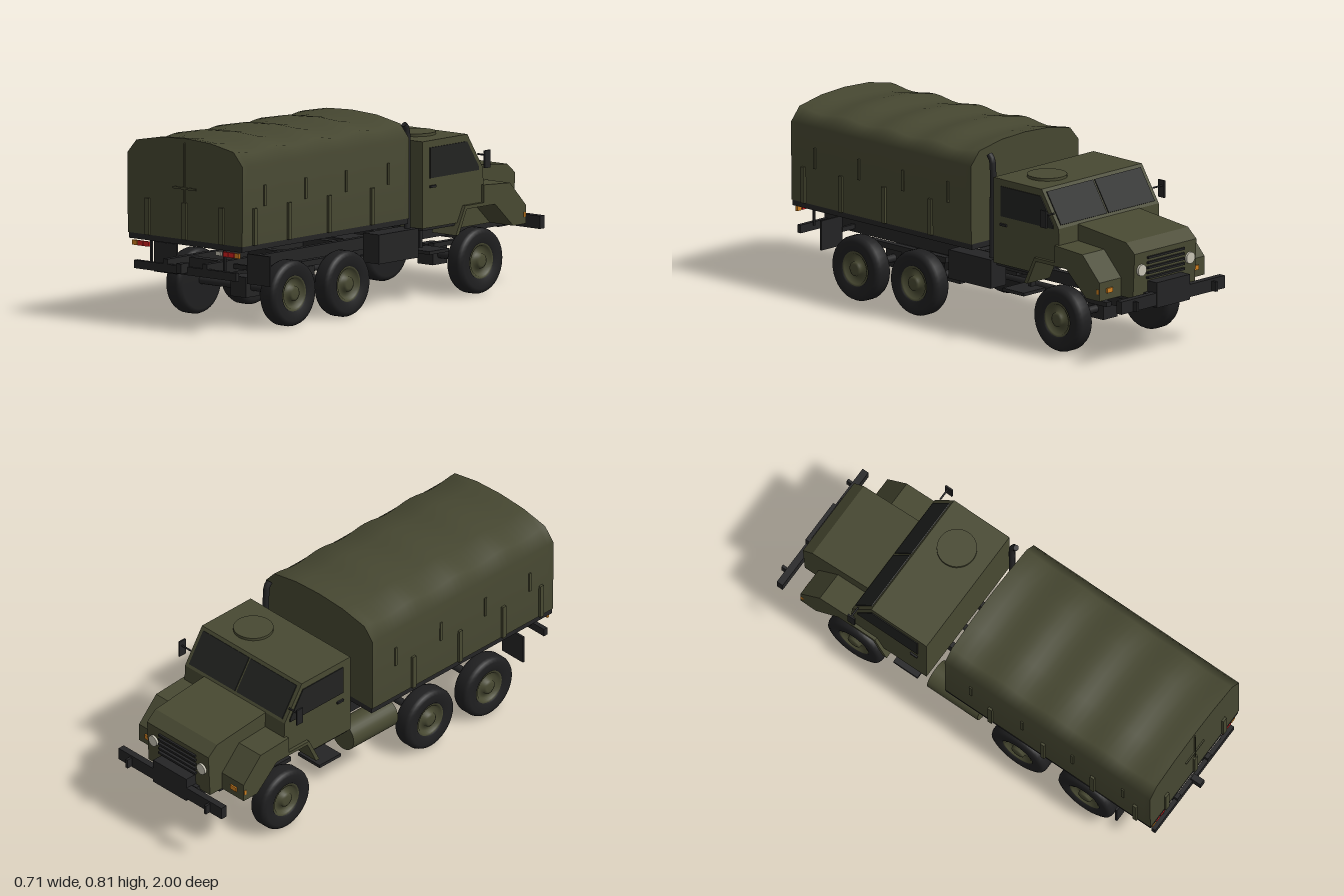
import * as THREE from 'three';

const mat = (name, color, extra = {}) => Object.assign(new THREE.MeshStandardMaterial({ color, ...extra }), { name });

export function createModel() {
  const green = mat('olive paint', 0x484932);
  const canvas = mat('olive canvas', 0x464731);
  const dark = mat('dark metal', 0x242425);
  const rubber = mat('tyre rubber', 0x1f1f20);
  const glass = mat('dark glass', 0x222321);
  const red = mat('red lens', 0xd02020);
  const orange = mat('orange lens', 0xd08020);
  const white = mat('clear lens', 0xc8c4b4);

  const truck = new THREE.Group();
  truck.name = 'truck';
  const add = (name, geo, material, x = 0, y = 0, z = 0) => {
    const m = new THREE.Mesh(geo, material);
    m.name = name;
    m.position.set(x, y, z);
    truck.add(m);
    return m;
  };
  // Box given by its limits on each axis
  const box = (name, material, x0, x1, y0, y1, z0, z1) =>
    add(name, new THREE.BoxGeometry(Math.abs(x1 - x0), y1 - y0, z1 - z0), material, (x0 + x1) / 2, (y0 + y1) / 2, (z0 + z1) / 2);
  // Side profile of [z, y] points extruded across x
  const profile = (name, material, pts, x0, x1) => {
    const shape = new THREE.Shape(pts.map(p => new THREE.Vector2(...p)));
    const geo = new THREE.ExtrudeGeometry(shape, { depth: x1 - x0, bevelEnabled: false });
    geo.rotateY(-Math.PI / 2).translate(x1, 0, 0);
    return add(name, geo, material);
  };
  const cyl = (name, material, r, len, axis, x, y, z, seg = 20) => {
    const geo = new THREE.CylinderGeometry(r, r, len, seg);
    if (axis === 'x') geo.rotateZ(Math.PI / 2);
    if (axis === 'z') geo.rotateX(Math.PI / 2);
    return add(name, geo, material, x, y, z);
  };
  const sides = [1, -1];

  // Canvas cover: arched section, sagging between its hoops
  const half = [[0.32, 0.38], [0.322, 0.72], [0.272, 0.778], [0.14, 0.803]];
  const section = [...half, [0, 0.81], ...half.slice().reverse().map(([x, y]) => [-x, y])];
  const n = section.length, steps = 32, verts = [], index = [];
  for (let j = 0; j <= steps; j++) {
    const t = j / steps, sag = 0.015 * Math.sin(t * 4 * Math.PI) ** 2;
    section.forEach(([x, y], i) => {
      verts.push(x, y > 0.75 ? y - sag : y, -0.10 + 1.06 * t);
      if (j < steps && i < n - 1) {
        const a = j * n + i, b = a + n;
        index.push(a, a + 1, b, a + 1, b + 1, b);
      }
    });
  }
  const cover = new THREE.BufferGeometry();
  cover.setAttribute('position', new THREE.Float32BufferAttribute(verts, 3));
  cover.setIndex(index);
  cover.computeVertexNormals();
  add('canvasCover', cover, canvas);
  const end = new THREE.ShapeGeometry(new THREE.Shape(section.map(p => new THREE.Vector2(...p))));
  add('canvasRear', end, canvas, 0, 0, 0.96);
  add('canvasFront', end, canvas, 0, 0, -0.10).rotation.y = Math.PI;
  box('cargoFloor', dark, -0.316, 0.316, 0.356, 0.381, -0.10, 0.958);

  // Side posts, canvas straps and tailgate ribs
  for (const s of sides) {
    for (const z of [0.885, 0.665, 0.41, 0.137]) box('sidePost', green, s * 0.315, s * 0.331, 0.38, 0.537, z - 0.01, z + 0.01);
    for (const z of [0.82, 0.56, 0.30, 0.035]) box('canvasStrap', green, s * 0.315, s * 0.327, 0.54, 0.63, z - 0.006, z + 0.006);
  }
  for (const x of [-0.207, 0, 0.207]) box('tailgateRib', green, x - 0.012, x + 0.012, 0.38, 0.537, 0.955, 0.97);
  box('rearSeam', canvas, -0.003, 0.003, 0.537, 0.79, 0.958, 0.966);
  box('rearStrap', canvas, -0.065, 0.065, 0.593, 0.602, 0.958, 0.966);

  // Cab and bonnet
  profile('cab', green, [[-0.21, 0.32], [-0.21, 0.69], [-0.495, 0.69], [-0.595, 0.535], [-0.60, 0.39], [-0.465, 0.39], [-0.43, 0.32]], -0.30, 0.30);
  profile('bonnet', green, [[-0.58, 0.27], [-0.58, 0.537], [-0.88, 0.507], [-0.93, 0.465], [-0.92, 0.27]], -0.185, 0.185);
  box('cabFloor', dark, -0.29, 0.29, 0.308, 0.32, -0.43, -0.22);
  cyl('roofHatch', green, 0.085, 0.014, 'y', 0.13, 0.695, -0.36, 32);
  const screenTilt = Math.atan2(0.10, 0.155);
  for (const s of sides) {
    add('windscreen', new THREE.BoxGeometry(0.276, 0.155, 0.008), glass, s * 0.143, 0.612, -0.546).rotation.x = screenTilt;
    const a = s > 0 ? 0.298 : -0.304;
    profile('sideWindow', glass, [[-0.255, 0.53], [-0.255, 0.66], [-0.49, 0.66], [-0.565, 0.545], [-0.565, 0.53]], a, a + 0.006);
    box('doorHandle', dark, s * 0.30, s * 0.308, 0.489, 0.499, -0.29, -0.255);
    // Mirrors
    cyl('mirrorArm', dark, 0.004, 0.06, 'x', s * 0.327, 0.597, -0.565, 8);
    box('mirror', dark, s * 0.35, s * 0.357, 0.545, 0.62, -0.578, -0.542);
    // Wings with wheel arches
    profile('wing', green, [[-0.405, 0.27], [-0.465, 0.39], [-0.585, 0.39], [-0.585, 0.465], [-0.75, 0.455], [-0.85, 0.35],
      [-0.85, 0.27], [-0.77, 0.27], [-0.655, 0.375], [-0.475, 0.375], [-0.425, 0.27]], s > 0 ? 0.18 : -0.315, s > 0 ? 0.315 : -0.18);
    box('indicator', orange, s * 0.24, s * 0.275, 0.30, 0.32, -0.857, -0.848);
    box('sideIndicator', orange, s * 0.31, s * 0.318, 0.30, 0.32, -0.848, -0.835);
    cyl('headlamp', white, 0.025, 0.014, 'z', s * 0.145, 0.39, -0.93);
    box('cabStep', dark, s * 0.165, s * 0.295, 0.203, 0.217, -0.385, -0.26);
    box('stepBracket', dark, s * 0.165, s * 0.195, 0.217, 0.32, -0.33, -0.315);
  }
  for (let i = 0; i < 5; i++) box('grilleSlat', dark, -0.11, 0.11, 0.345 + i * 0.022, 0.354 + i * 0.022, -0.938, -0.922);

  // Front bumper, winch housing and towing eyes
  box('frontBumper', dark, -0.31, 0.31, 0.235, 0.29, -0.975, -0.945);
  box('winch', dark, -0.10, 0.10, 0.225, 0.335, -0.977, -0.92);
  for (const s of sides) box('towingEye', dark, s * 0.23, s * 0.242, 0.238, 0.28, -1.0, -0.97);

  // Chassis
  for (const s of sides) {
    box('chassisRail', dark, s * 0.097, s * 0.123, 0.235, 0.287, -0.94, 0.96);
    box('rearSpring', dark, s * 0.14, s * 0.17, 0.215, 0.24, 0.20, 0.66);
    box('frontSpring', dark, s * 0.14, s * 0.17, 0.2, 0.22, -0.75, -0.43);
    box('mudFlap', dark, s * 0.197, s * 0.323, 0.192, 0.32, 0.78, 0.79);
    box('flapArm', dark, s * 0.12, s * 0.20, 0.25, 0.27, 0.778, 0.792);
    box('lampBracket', dark, s * 0.20, s * 0.21, 0.25, 0.356, 0.935, 0.945);
  }
  for (const z of [0.8, 0.43, 0.08, -0.25]) box('crossMember', dark, -0.11, 0.11, 0.24, 0.28, z - 0.02, z + 0.02);
  box('engineSump', dark, -0.118, 0.118, 0.196, 0.31, -0.80, -0.71);
  box('gearbox', dark, -0.07, 0.07, 0.2, 0.28, -0.12, 0.02);
  box('rearBeam', dark, -0.285, 0.285, 0.23, 0.265, 0.94, 0.96);
  box('towHitch', dark, -0.014, 0.014, 0.24, 0.282, 0.95, 1.0);
  cyl('driveShaft', dark, 0.014, 1.2, 'z', 0.02, 0.17, 0.01, 10);

  // Tail lamps
  for (const s of sides) {
    box('tailIndicator', orange, s * 0.273, s * 0.299, 0.328, 0.349, 0.946, 0.956);
    box('brakeLamp', red, s * 0.241, s * 0.269, 0.328, 0.349, 0.946, 0.956);
    box('tailLamp', red, s * 0.209, s * 0.237, 0.328, 0.349, 0.946, 0.956);
  }
  box('reversingLamp', white, 0.166, 0.194, 0.33, 0.347, 0.946, 0.956);

  // Fuel tank, battery box and exhaust stack
  cyl('fuelTank', green, 0.066, 0.26, 'z', -0.245, 0.255, -0.07, 28);
  box('batteryBox', dark, 0.205, 0.295, 0.2, 0.325, -0.19, 0.06);
  const stack = new THREE.CatmullRomCurve3([[0.3, -0.163], [0.5, -0.163], [0.72, -0.163], [0.75, -0.158], [0.768, -0.143]]
    .map(([y, z]) => new THREE.Vector3(0.255, y, z)));
  add('exhaustStack', new THREE.TubeGeometry(stack, 24, 0.014, 12), dark);
  cyl('exhaustTip', dark, 0.013, 0.006, 'y', 0.255, 0.766, -0.145, 12).rotation.x = 0.7;

  // Axles and wheels
  const tyrePts = [[0.072, 0.03], [0.08, 0.041], [0.118, 0.043], [0.134, 0.036], [0.14, 0.022], [0.14, -0.022],
    [0.134, -0.036], [0.118, -0.043], [0.0, -0.043]].reverse().map(p => new THREE.Vector2(...p));
  const tyre = new THREE.LatheGeometry(tyrePts, 36);
  const rimPts = [[0.076, 0.035], [0.066, 0.035], [0.058, 0.018], [0.034, 0.022], [0.031, 0.038], [0.02, 0.042], [0, 0.042]]
    .map(p => new THREE.Vector2(...p));
  const rim = new THREE.LatheGeometry(rimPts, 28);
  for (const z of [0.605, 0.26, -0.585]) {
    cyl('axle', dark, 0.017, 0.46, 'x', 0, 0.145, z, 12);
    box('differential', dark, -0.018, 0.068, 0.103, 0.19, z - 0.045, z + 0.045);
    for (const s of sides) {
      const wheel = new THREE.Group();
      wheel.name = 'wheel';
      [[tyre, rubber, 'tyre'], [rim, green, 'rim']].forEach(([g, m, name]) => {
        const mesh = new THREE.Mesh(g, m);
        mesh.name = name;
        wheel.add(mesh);
      });
      wheel.position.set(s * 0.263, 0.14, z);
      wheel.rotation.z = -s * Math.PI / 2;
      truck.add(wheel);
    }
  }
  rubber.side = green.side = THREE.DoubleSide;
  return truck;
}
